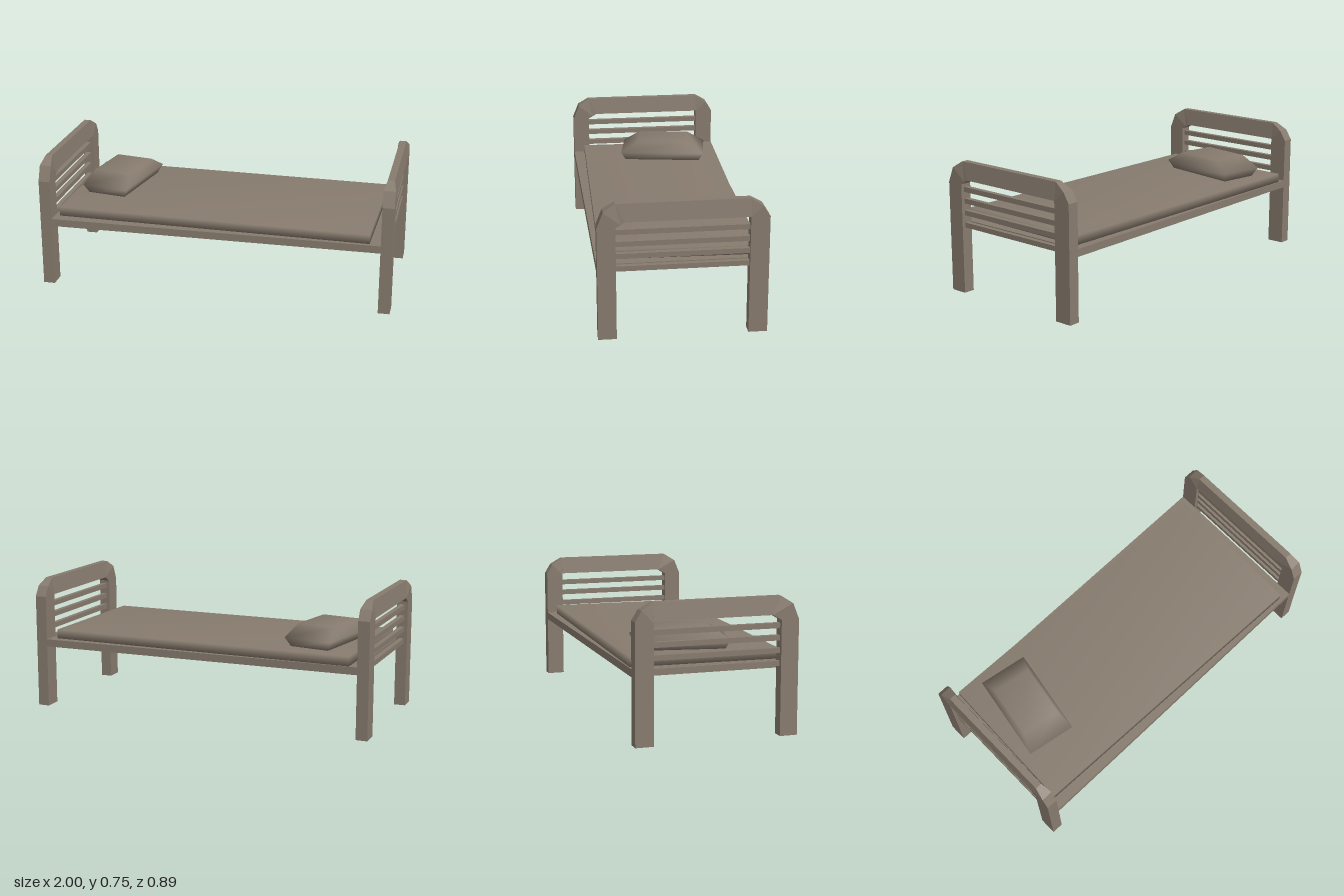
import * as THREE from 'three';
import { mergeVertices } from 'three/addons/utils/BufferGeometryUtils.js';

// End frame: a four-sided bar swept up one leg, over the top and down the other.
// Each station: outer z, outer y, inner z, inner y, half width of the outer edge.
const HALF = 0.0325;
const STATIONS = [
  [0.447, 0, 0.35, 0, HALF],
  [0.447, 0.62, 0.35, 0.62, HALF],
  [0.413, 0.705, 0.325, 0.634, HALF],
  [0.35, 0.745, 0.3, 0.648, 0.019],
  [-0.345, 0.745, -0.345, 0.648, 0.019],
  [-0.41, 0.705, -0.345, 0.64, HALF],
  [-0.445, 0.648, -0.345, 0.62, HALF],
  [-0.445, 0, -0.345, 0, HALF],
];

function endFrameGeometry() {
  const rings = STATIONS.map(([oz, oy, iz, iy, w]) => [
    [w, oy, oz], [-w, oy, oz], [-HALF, iy, iz], [HALF, iy, iz],
  ]);
  const positions = [];
  const quad = (a, b, c, d) => positions.push(...a, ...b, ...c, ...a, ...c, ...d);
  for (let k = 0; k < rings.length - 1; k++) {
    for (let i = 0; i < 4; i++) {
      const j = (i + 1) % 4;
      quad(rings[k][i], rings[k + 1][i], rings[k + 1][j], rings[k][j]);
    }
  }
  const [a, b, c, d] = rings[0];
  quad(a, b, c, d);
  const [e, f, g, h] = rings[rings.length - 1];
  quad(h, g, f, e);
  const geometry = new THREE.BufferGeometry();
  geometry.setAttribute('position', new THREE.Float32BufferAttribute(positions, 3));
  geometry.computeVertexNormals();
  return geometry;
}

// Share corners so the shading runs softly over the edges
function soften(geometry) {
  geometry.deleteAttribute('uv');
  geometry.deleteAttribute('normal');
  const soft = mergeVertices(geometry);
  soft.computeVertexNormals();
  return soft;
}

// Pillow: a box with a wide middle seam and smaller top and bottom
function pillowGeometry() {
  const geometry = new THREE.BoxGeometry(0.28, 0.116, 0.507, 1, 2, 1);
  const p = geometry.attributes.position;
  for (let i = 0; i < p.count; i++) {
    const y = p.getY(i);
    if (y > 0.01) p.setXYZ(i, p.getX(i) * 0.8, y, p.getZ(i) * 0.59);
    else if (y < -0.01) p.setXYZ(i, p.getX(i) * 0.81, y, p.getZ(i) * 0.9);
    else p.setY(i, -0.006);
  }
  return soften(geometry);
}

export function createModel() {
  const model = new THREE.Group();
  model.name = 'bed';
  const taupe = new THREE.MeshStandardMaterial({ color: 0x877b6e });
  taupe.name = 'taupe';

  const add = (parent, name, geometry, x, y, z, turn = 0) => {
    const mesh = new THREE.Mesh(geometry, taupe);
    mesh.name = name;
    mesh.position.set(x, y, z);
    mesh.rotation.y = turn;
    parent.add(mesh);
  };

  // Head and foot ends with horizontal slats
  const frame = endFrameGeometry();
  const slat = new THREE.BoxGeometry(0.028, 0.028, 0.695);
  for (const [name, x] of [['headboard', -0.9675], ['footboard', 0.9675]]) {
    const end = new THREE.Group();
    end.name = name;
    end.position.x = x;
    add(end, name + 'Frame', frame, 0, 0, 0);
    [0.387, 0.456, 0.523, 0.588].forEach((y, i) => add(end, 'slat' + (i + 1), slat, 0, y, 0.002));
    model.add(end);
  }

  // Base board, mattress lying slightly askew, and pillow
  add(model, 'baseBoard', new THREE.BoxGeometry(1.87, 0.042, 0.892), 0, 0.377, 0.001);
  add(model, 'mattress', soften(new THREE.BoxGeometry(1.78, 0.054, 0.822)), -0.007, 0.423, -0.006, -0.024);
  add(model, 'pillow', pillowGeometry(), -0.666, 0.507, -0.097, -0.168);

  return model;
}
